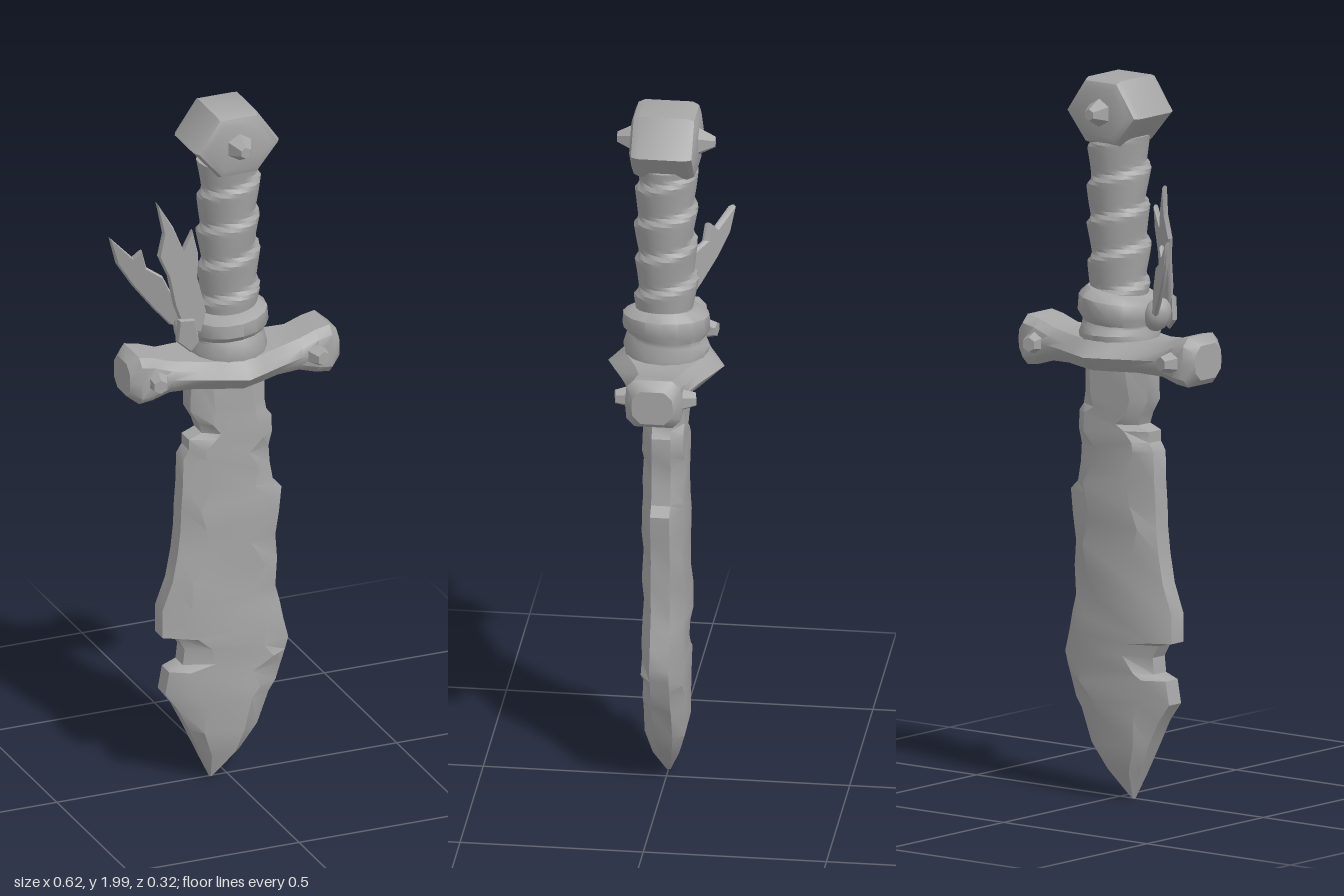
import * as THREE from 'three';
import { toCreasedNormals } from 'three/addons/utils/BufferGeometryUtils.js';

const steel = new THREE.MeshStandardMaterial({ color: 0xa6a6a6 });
steel.name = 'worn grey';

// Skin a list of equal-length rings of [x, y, z], capping both ends.
function loft(rings, crease = 0.6) {
  const n = rings[0].length, pos = [], idx = [];
  rings.forEach(r => r.forEach(p => pos.push(...p)));
  for (let i = 0; i < rings.length - 1; i++)
    for (let j = 0; j < n; j++) {
      const a = i * n + j, b = i * n + (j + 1) % n;
      idx.push(a, b, b + n, a, b + n, a + n);
    }
  [0, rings.length - 1].forEach(i => {
    const c = pos.length / 3;
    pos.push(...[0, 1, 2].map(k => rings[i].reduce((s, p) => s + p[k], 0) / n));
    for (let j = 0; j < n; j++) {
      const a = i * n + j, b = i * n + (j + 1) % n;
      idx.push(...(i ? [c, a, b] : [c, b, a]));
    }
  });
  // Turn the faces outward if the enclosed volume is negative.
  const v = k => new THREE.Vector3().fromArray(pos, idx[k] * 3);
  let volume = 0;
  for (let k = 0; k < idx.length; k += 3) volume += v(k).dot(v(k + 1).cross(v(k + 2)));
  if (volume < 0) idx.reverse();
  const g = new THREE.BufferGeometry();
  g.setAttribute('position', new THREE.Float32BufferAttribute(pos, 3));
  g.setIndex(idx);
  return toCreasedNormals(g, crease);
}

const shapeOf = pts => new THREE.Shape(pts.map(p => new THREE.Vector2(...p)));

export function createModel() {
  const model = new THREE.Group();
  model.name = 'dagger';
  const add = (name, geometry) => {
    const mesh = new THREE.Mesh(geometry, steel);
    mesh.name = name;
    model.add(mesh);
    return mesh;
  };

  // Blade: rows of left edge x, y, right edge x, y, from guard to tip.
  const edges = [
    [-0.115, 1.24, 0.1, 1.24], [-0.118, 1.12, 0.1, 1.12], [-0.095, 1.08, 0.105, 1.09],
    [-0.085, 1.05, 0.12, 1.07], [-0.122, 1.035, 0.122, 1.02], [-0.122, 1.005, 0.112, 0.98],
    [-0.138, 0.98, 0.115, 0.93], [-0.14, 0.9, 0.125, 0.875], [-0.145, 0.83, 0.15, 0.85],
    [-0.147, 0.77, 0.143, 0.78], [-0.155, 0.7, 0.132, 0.71], [-0.17, 0.62, 0.137, 0.64],
    [-0.2, 0.54, 0.132, 0.56], [-0.2, 0.46, 0.145, 0.51], [-0.155, 0.45, 0.155, 0.46],
    [-0.135, 0.415, 0.17, 0.4], [-0.14, 0.37, 0.16, 0.365], [-0.18, 0.355, 0.148, 0.33],
    [-0.192, 0.29, 0.132, 0.28], [-0.155, 0.24, 0.112, 0.25], [-0.12, 0.17, 0.078, 0.16],
    [-0.085, 0.09, 0.03, 0.09], [-0.052, 0.015, -0.045, 0.015],
  ];
  add('blade', loft(edges.map(([xl, yl, xr, yr], i) => {
    const taper = Math.min(1, Math.max(0.06, (yl + yr) / 2 / 0.14));
    const thick = 0.056 * taper, rim = 0.026 * taper;
    const inset = (k, s) => (xr - xl) * (0.22 + 0.07 * Math.sin(i * k + s));
    const la = inset(2.1, 0), lb = inset(1.7, 2), ra = inset(2.6, 1), rb = inset(1.9, 4);
    return [
      [xl, yl, -rim], [xl, yl, rim], [xl + la, yl, thick], [xr - ra, yr, thick],
      [xr, yr, rim], [xr, yr, -rim], [xr - rb, yr, -thick], [xl + lb, yl, -thick],
    ];
  }), 0.55));

  // Crossguard: sections of x, half depth, ridge depth, low y, high y.
  const half = [
    [0, 0.14, 0.159, 1.205, 1.285], [0.06, 0.118, 0.133, 1.205, 1.285],
    [0.12, 0.092, 0.106, 1.205, 1.285], [0.19, 0.074, 0.08, 1.2, 1.292],
    [0.24, 0.074, 0.078, 1.185, 1.31], [0.28, 0.074, 0.078, 1.18, 1.318],
    [0.308, 0.054, 0.057, 1.2, 1.295],
  ];
  const sections = [...half.slice(1).reverse().map(([x, ...r]) => [-x, ...r]), ...half];
  add('crossguard', loft(sections.map(([x, d, ridge, lo, hi]) => {
    const c = 0.022;
    return [
      [x, lo, -d + c], [x, lo, d - c], [x, lo + c, d], [x, (lo + hi) / 2, ridge],
      [x, hi - c, d], [x, hi, d - c], [x, hi, -d + c], [x, hi - c, -d],
      [x, (lo + hi) / 2, -ridge], [x, lo + c, -d],
    ];
  }), 0.7));

  // Studs on both faces of the crossguard ends and of the pommel.
  for (const z of [1, -1]) {
    for (const x of [1, -1]) {
      const stud = add('guardStud', new THREE.CylinderGeometry(0.02, 0.034, 0.05, 6));
      stud.geometry = toCreasedNormals(stud.geometry, 0.6);
      stud.position.set(x * 0.235, 1.247, z * 0.085);
      stud.rotation.set(z * Math.PI / 2, 0, -x * z * 0.2);
    }
    const boss = add('pommelStud', toCreasedNormals(new THREE.CylinderGeometry(0.016, 0.045, 0.055, 6), 0.6));
    boss.position.set(0, 1.91, z * 0.106);
    boss.rotation.x = z * Math.PI / 2;
  }

  // Collar: stacked uneven rings of cloth, deeper than wide.
  const collar = [
    [1.27, 0.105, 0.11], [1.3, 0.108, 0.118], [1.325, 0.1, 0.108], [1.335, 0.1, 0.104],
    [1.355, 0.112, 0.12], [1.395, 0.108, 0.118], [1.415, 0.085, 0.09],
  ];
  add('collar', loft(collar.map(([y, rx, rz], i) => Array.from({ length: 16 }, (_, j) => {
    const a = j / 16 * Math.PI * 2;
    return [rx * Math.cos(a), y + 0.012 * Math.sin(a + i * 0.3) * (i > 1 ? 1 : 0), rz * Math.sin(a)];
  })), 0.8));

  // Grip: a tube whose radius follows a spiral of overlapping wraps.
  const rows = 44, sides = 20;
  add('grip', loft(Array.from({ length: rows + 1 }, (_, i) => Array.from({ length: sides }, (_, j) => {
    const a = j / sides * Math.PI * 2, y = 1.39 + 0.45 * i / rows;
    const turn = (y - 1.39) / 0.105 + a / (Math.PI * 2);
    const f = turn - Math.floor(turn);
    const r = 0.074 + 0.014 * (f < 0.85 ? f / 0.85 : (1 - f) / 0.15) + 0.002 * Math.sin(a * 3 + y * 25);
    return [0.004 + r * Math.cos(a), y, r * Math.sin(a)];
  })), 0.6));

  // Pommel: a six-sided block with bevelled faces.
  const b = 0.025;
  const pommelGeo = new THREE.ExtrudeGeometry(shapeOf([
    [-0.042, 1.845], [0.045, 1.845], [0.094, 1.905], [0.045, 1.975], [-0.045, 1.975], [-0.094, 1.905],
  ]), { depth: 0.13, bevelEnabled: true, bevelSize: b, bevelThickness: b, bevelSegments: 2 });
  pommelGeo.translate(0, 0, -0.065);
  add('pommel', toCreasedNormals(pommelGeo, 0.75));

  // Torn cloth ends: flat outlines leaned backward by a rule.
  const tail = (name, pts, lean) => {
    const g = new THREE.ExtrudeGeometry(shapeOf(pts), {
      depth: 0.006, bevelEnabled: true, bevelSize: 0.004, bevelThickness: 0.007, bevelSegments: 1, bevelOffset: -0.004,
    });
    const p = g.attributes.position;
    for (let i = 0; i < p.count; i++) p.setZ(i, p.getZ(i) + lean(p.getX(i), p.getY(i)));
    add(name, toCreasedNormals(g, 0.5));
  };
  tail('outerClothTail', [
    [-0.13, 1.36], [-0.145, 1.44], [-0.17, 1.5], [-0.205, 1.52], [-0.215, 1.57], [-0.235, 1.545],
    [-0.285, 1.595], [-0.27, 1.52], [-0.235, 1.46], [-0.19, 1.4], [-0.155, 1.36],
  ], x => 0.85 * (x + 0.11));
  tail('innerClothTail', [
    [-0.105, 1.37], [-0.09, 1.43], [-0.105, 1.52], [-0.1, 1.59], [-0.11, 1.655], [-0.135, 1.6],
    [-0.155, 1.66], [-0.19, 1.725], [-0.18, 1.64], [-0.195, 1.575], [-0.175, 1.52], [-0.165, 1.44], [-0.145, 1.37],
  ], (x, y) => 0.04 - 0.16 * (y - 1.38) + 0.6 * (x + 0.14));
  tail('shortClothTail', [
    [-0.11, 1.34], [-0.12, 1.41], [-0.16, 1.405], [-0.165, 1.34], [-0.13, 1.31],
  ], x => 0.05 + 0.5 * (x + 0.13));

  // Knot tying the cloth tails to the collar.
  const knot = add('knot', new THREE.SphereGeometry(1, 10, 8));
  knot.scale.set(0.036, 0.048, 0.042);
  knot.position.set(-0.122, 1.355, 0.012);
  knot.rotation.z = 0.3;

  return model;
}
